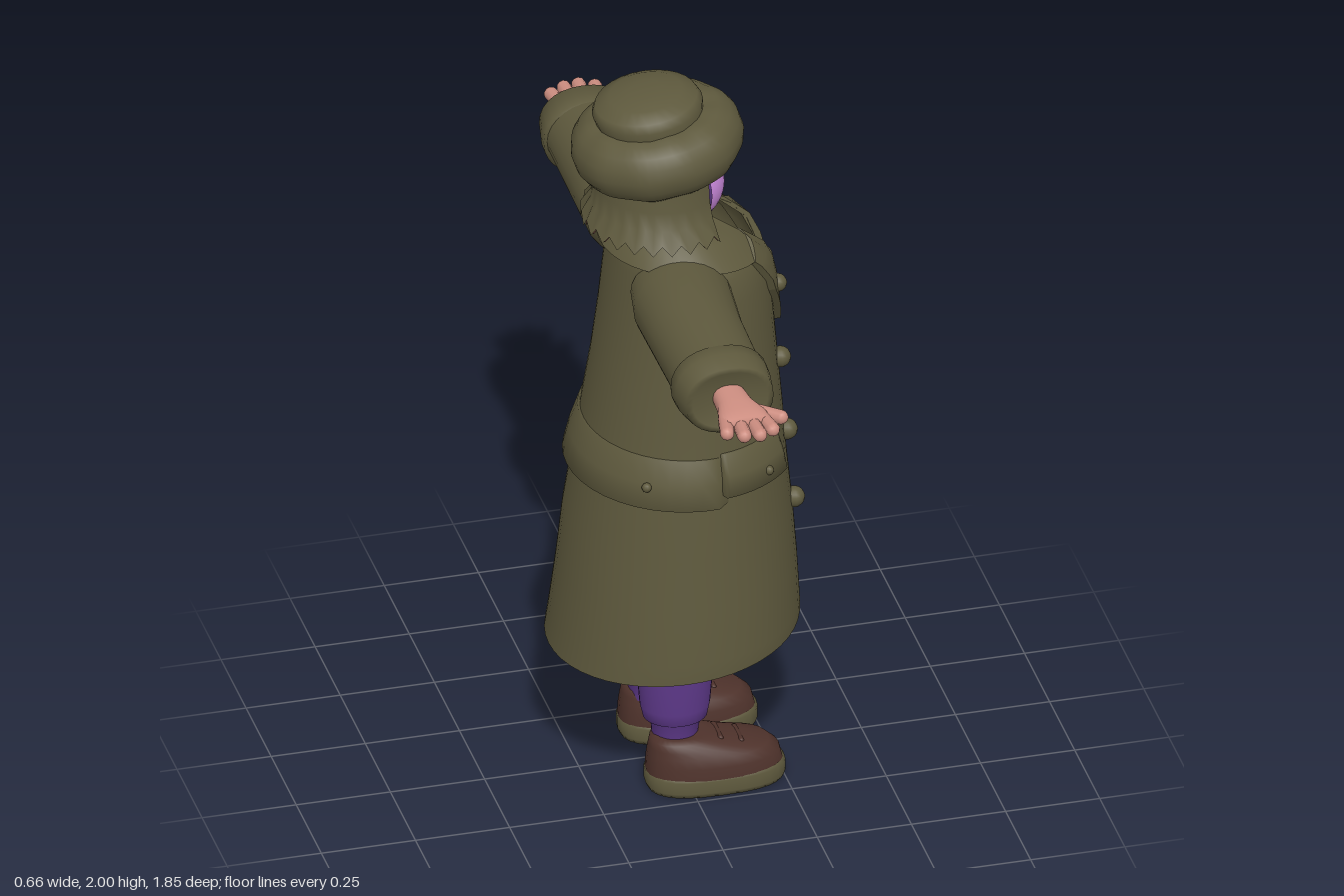
import * as THREE from 'three';
import { mergeVertices } from 'three/addons/utils/BufferGeometryUtils.js';
import { ParametricGeometry } from 'three/addons/geometries/ParametricGeometry.js';

const mat = (name, color, side = THREE.FrontSide) => {
  const m = new THREE.MeshStandardMaterial({ color, side });
  m.name = name;
  return m;
};

// Smooth grid surface from fn(u, v) => [x, y, z]
function surface(fn, nu, nv) {
  const g = new ParametricGeometry((u, v, t) => t.set(...fn(u, v)), nu, nv);
  g.deleteAttribute('normal');
  g.deleteAttribute('uv');
  const m = mergeVertices(g, 1e-5);
  m.computeVertexNormals();
  return m;
}

// Cross-section [y, halfWidth, zBack, zFront], linear between table rows
function sectionAt(rows, t) {
  const i = Math.min(rows.length - 2, Math.floor(t + 1e-6));
  return rows[i].map((a, k) => a + (rows[i + 1][k] - a) * (t - i));
}
function sectionAtY(rows, y) {
  let i = 0;
  while (i < rows.length - 2 && rows[i + 1][0] < y) i++;
  return sectionAt(rows, i + (y - rows[i][0]) / (rows[i + 1][0] - rows[i][0]));
}
function onSection([y, hw, zb, zf], a, off = 0, p = 2) {
  const pw = (c) => Math.sign(c) * Math.abs(c) ** (2 / p);
  return [(hw + off) * pw(Math.sin(a)), y, (zb + zf) / 2 + ((zf - zb) / 2 + off) * pw(Math.cos(a))];
}
const loft = (rows, p = 2, n = 28) => surface(
  (u, v) => onSection(sectionAt(rows, v * (rows.length - 1)), u * Math.PI * 2, 0, p), n, rows.length - 1);

const COAT = [
  [0.41, 0.338, -0.33, 0.325], [0.46, 0.338, -0.32, 0.325], [0.6, 0.324, -0.3, 0.318], [0.75, 0.312, -0.283, 0.307],
  [0.92, 0.297, -0.255, 0.29], [1.05, 0.284, -0.235, 0.281], [1.2, 0.268, -0.21, 0.268],
  [1.35, 0.255, -0.19, 0.256], [1.46, 0.25, -0.178, 0.245], [1.53, 0.24, -0.17, 0.222],
  [1.575, 0.222, -0.165, 0.185], [1.605, 0.17, -0.15, 0.135], [1.63, 0.11, -0.11, 0.08],
];
const coatZ = (x, y) => {
  const [, hw, zb, zf] = sectionAtY(COAT, y);
  return (zb + zf) / 2 + ((zf - zb) / 2) * Math.sqrt(Math.max(0, 1 - (x / hw) ** 2));
};

export function createModel() {
  const olive = mat('olive', 0x5e593d, THREE.DoubleSide);
  const brown = mat('brown', 0x4e322b, THREE.DoubleSide);
  const purple = mat('purple', 0x5e398a);
  const lilac = mat('lilac', 0xc787d8);
  const skin = mat('skin', 0xcc8d80);

  const model = new THREE.Group();
  const figure = new THREE.Group();
  figure.name = 'figure';
  figure.rotation.y = Math.PI / 2; // the figure looks along +x
  model.add(figure);
  const add = (name, geo, material, parent = figure) => {
    const m = new THREE.Mesh(geo, material);
    m.name = name;
    parent.add(m);
    return m;
  };

  // Coat shell, open down the front and widening to a V at the neck
  add('coat', surface((u, v) => {
    const s = sectionAt(COAT, v * (COAT.length - 1));
    const gap = 0.017 + Math.max(0, s[0] - 1.28) * 0.2;
    const a0 = Math.asin(gap / s[1]);
    const a = a0 + u * (Math.PI * 2 - 2 * a0);
    const pt = onSection(s, a);
    pt[1] += 0.03 * Math.cos(a) * Math.max(0, 1 - v * 5);
    return pt;
  }, 48, COAT.length - 1), olive);

  // Flaps that follow the coat: long back belt and two pockets
  const flap = (name, yTop, yLow, a0, a1, off) => {
    const prof = [[yLow, -0.005], [yLow, off], [(yTop + yLow) / 2, off * 0.75], [yTop, off * 0.25], [yTop, -0.005]];
    add(name, surface((u, v) => {
      const [y, o] = prof[Math.round(v * 4)];
      return onSection(sectionAtY(COAT, y), a0 + u * (a1 - a0), u < 0.001 || u > 0.999 ? -0.005 : o);
    }, 24, 4), olive);
  };
  flap('backBelt', 1.04, 0.91, 1.35, Math.PI * 2 - 1.35, 0.026);
  flap('leftPocketFlap', 1.05, 0.94, 0.68, 1.47, 0.032);
  flap('rightPocketFlap', 1.05, 0.94, -1.47, -0.68, 0.032);

  // Lapel plates bent over the chest
  const lapel = [[0.019, 1.27], [0.12, 1.42], [0.17, 1.54], [0.083, 1.595]];
  for (const s of [-1, 1]) {
    const g = new THREE.BoxGeometry(1, 1, 1, 6, 6, 1);
    const p = g.attributes.position;
    for (let i = 0; i < p.count; i++) {
      const u = p.getX(i) * s + 0.5, v = p.getY(i) + 0.5;
      const mix = (k) => (1 - v) * ((1 - u) * lapel[0][k] + u * lapel[1][k]) + v * ((1 - u) * lapel[3][k] + u * lapel[2][k]);
      const x = mix(0), y = mix(1);
      p.setXYZ(i, s * x, y, coatZ(x, y) + 0.008 + p.getZ(i) * 0.022);
    }
    g.computeVertexNormals();
    add(s > 0 ? 'leftLapel' : 'rightLapel', g, olive);

    // Front buttons, graded in size, and small flap buttons
    for (const [x, y, r] of [[0.072, 1.41, 0.024], [0.084, 1.195, 0.028], [0.09, 0.98, 0.028], [0.09, 0.775, 0.028]]) {
      const b = add('coatButton', new THREE.SphereGeometry(r, 14, 10), olive);
      b.position.set(s * x, y, coatZ(x, y) + (y > 1.4 ? 0.018 : 0.006));
    }
    for (const a of [0.97, 2.15]) {
      const b = add('flapButton', new THREE.SphereGeometry(0.013, 10, 8), olive);
      b.position.set(...onSection(sectionAtY(COAT, 0.97), s * a, 0.026));
    }
  }

  // Turned-down collar
  const collar = [[1.6, 0.1, -0.1, 0.085], [1.645, 0.125, -0.125, 0.11], [1.62, 0.19, -0.165, 0.175], [1.565, 0.24, -0.195, 0.235]];
  add('collar', surface((u, v) => {
    const a0 = 0.75 - v * 0.3, a = a0 + u * (Math.PI * 2 - 2 * a0);
    const pt = onSection(sectionAt(collar, v * 3), a);
    pt[1] -= 0.035 * v * Math.max(0, Math.cos(a));
    return pt;
  }, 32, 3), olive);

  // Body under the coat
  add('torso', loft([[0.86, 0, 0, 0], [0.9, 0.17, -0.13, 0.13], [1.0, 0.18, -0.14, 0.15], [1.2, 0.17, -0.13, 0.17],
    [1.48, 0.17, -0.13, 0.17], [1.57, 0.12, -0.1, 0.11], [1.62, 0.07, -0.08, 0.06], [1.7, 0.065, -0.07, 0.05]]), purple);

  // Legs and shoes
  for (const s of [-1, 1]) {
    const leg = new THREE.Group();
    leg.name = s > 0 ? 'leftLeg' : 'rightLeg';
    figure.add(leg);
    const trouser = add('trouserLeg', loft([[0.12, 0.055, -0.085, 0.03], [0.185, 0.06, -0.09, 0.04], [0.195, 0.075, -0.11, 0.058],
      [0.23, 0.08, -0.118, 0.065], [0.35, 0.09, -0.128, 0.075], [0.5, 0.092, -0.135, 0.085], [0.88, 0.09, -0.13, 0.1]]), purple, leg);
    trouser.position.x = s * 0.118;
    const sole = add('sole', loft([[0, 0, 0.07, 0.07], [0, 0.098, -0.105, 0.25], [0.012, 0.101, -0.11, 0.257],
      [0.045, 0.101, -0.11, 0.257], [0.052, 0.095, -0.1, 0.245]], 2.6), olive, leg);
    const upper = add('shoe', loft([[0.045, 0.099, -0.108, 0.252], [0.08, 0.096, -0.106, 0.243], [0.105, 0.088, -0.103, 0.215],
      [0.122, 0.076, -0.1, 0.145], [0.142, 0.066, -0.096, 0.075], [0.15, 0.05, -0.08, 0.045], [0.14, 0, -0.02, -0.02]], 2.4), brown, leg);
    sole.position.x = upper.position.x = s * 0.138;
    for (const [y, z] of [[0.134, 0.08], [0.118, 0.135]]) {
      const strap = add('shoeLace', new THREE.CapsuleGeometry(0.009, 0.07, 4, 8), brown, leg);
      strap.rotation.z = Math.PI / 2;
      strap.position.set(s * 0.138, y, z);
    }
  }

  // Arms: the loft runs up y, then is laid sideways
  for (const s of [-1, 1]) {
    const arm = new THREE.Group();
    arm.name = s > 0 ? 'leftArm' : 'rightArm';
    arm.rotation.z = -s * Math.PI / 2;
    arm.position.y = 1.48;
    figure.add(arm);
    const end = s > 0 ? 0.742 : 0.722;
    const sleeve = add('sleeve', loft([[0.14, 0.1, -0.15, 0.11], [0.24, 0.115, -0.168, 0.095], [0.4, 0.109, -0.166, 0.08],
      [end - 0.09, 0.1, -0.164, 0.075]]), olive, arm);
    sleeve.position.x = -s * 0.004;
    add('cuff', loft([[end - 0.11, 0.09, -0.15, 0.065], [end - 0.1, 0.106, -0.172, 0.086], [end - 0.06, 0.104, -0.17, 0.084],
      [end, 0.094, -0.158, 0.075], [end, 0.08, -0.14, 0.06], [end - 0.03, 0, -0.04, -0.04]], 2.2), olive, arm);

    // Flat hand with four thick fingers and a thumb reaching forward
    const hand = new THREE.Group();
    hand.name = 'hand';
    arm.add(hand);
    add('palm', loft([[0.68, 0.036, -0.08, 0.0], [0.76, 0.033, -0.084, 0.012], [0.81, 0.028, -0.096, 0.034],
      [0.85, 0.021, -0.098, 0.036], [0.868, 0, -0.03, -0.03]], 2.4), skin, hand);
    for (const [z, tip, lean] of [[-0.084, 0.895, -0.18], [-0.048, 0.918, -0.06], [-0.011, 0.923, 0.05], [0.024, 0.905, 0.16]]) {
      const f = add('finger', new THREE.CapsuleGeometry(0.019, 0.06, 4, 10), skin, hand);
      f.position.set(s * 0.002, tip - 0.048, z);
      f.rotation.x = lean;
    }
    const thumb = add('thumb', new THREE.CapsuleGeometry(0.019, 0.07, 4, 10), skin, hand);
    thumb.position.set(s * 0.01, 0.798, 0.042);
    thumb.rotation.x = 0.85;
  }

  // Head with a face plate over its front
  const head = add('head', new THREE.SphereGeometry(1, 28, 20), purple);
  head.position.set(0, 1.715, -0.01);
  head.scale.set(0.125, 0.125, 0.125);
  const face = add('face', new THREE.SphereGeometry(1, 20, 20, Math.PI / 2 - 1.0, 2.0), lilac);
  face.position.set(0, 1.71, 0.012);
  face.scale.set(0.117, 0.113, 0.121);

  // Bobbed hair with a ragged hem, brown on the inside
  const HAIR = [[1.635, 0.214, -0.238, 0.165], [1.675, 0.187, -0.212, 0.14], [1.72, 0.172, -0.2, 0.13], [1.8, 0.168, -0.195, 0.125]];
  const hairGeo = (off) => surface((u, v) => {
    const a = 0.95 + u * (Math.PI * 2 - 1.9);
    const pt = onSection(sectionAt(HAIR, v * 3), a, off);
    if (v < 0.01) pt[1] += Math.round(u * 36) % 2 ? 0.01 : -0.02;
    return pt;
  }, 36, 3);
  add('hair', hairGeo(0), olive);
  add('hairLining', hairGeo(-0.008), brown);

  // Fur hat: thick tilted roll and a low crown
  const hat = new THREE.Group();
  hat.name = 'hat';
  hat.position.set(0, 1.843, -0.042);
  hat.rotation.x = -0.14;
  figure.add(hat);
  add('hatRoll', surface((u, v) => {
    const a = u * Math.PI * 2, b = v * Math.PI * 2;
    const puff = 1 + 0.025 * Math.sin(a * 9) * Math.sin(b + a * 2);
    const r = 0.133 + 0.083 * puff * Math.cos(b);
    return [r * Math.sin(a), 0.088 * puff * Math.sin(b), r * Math.cos(a) * 1.04];
  }, 56, 16), olive, hat);
  add('hatCrown', loft([[-0.02, 0.13, -0.13, 0.13], [0.08, 0.138, -0.148, 0.13], [0.108, 0.143, -0.155, 0.133], [0.13, 0.132, -0.145, 0.122],
    [0.148, 0.095, -0.105, 0.085], [0.155, 0.045, -0.055, 0.035], [0.156, 0, -0.01, -0.01]]), olive, hat);

  return model;
}
